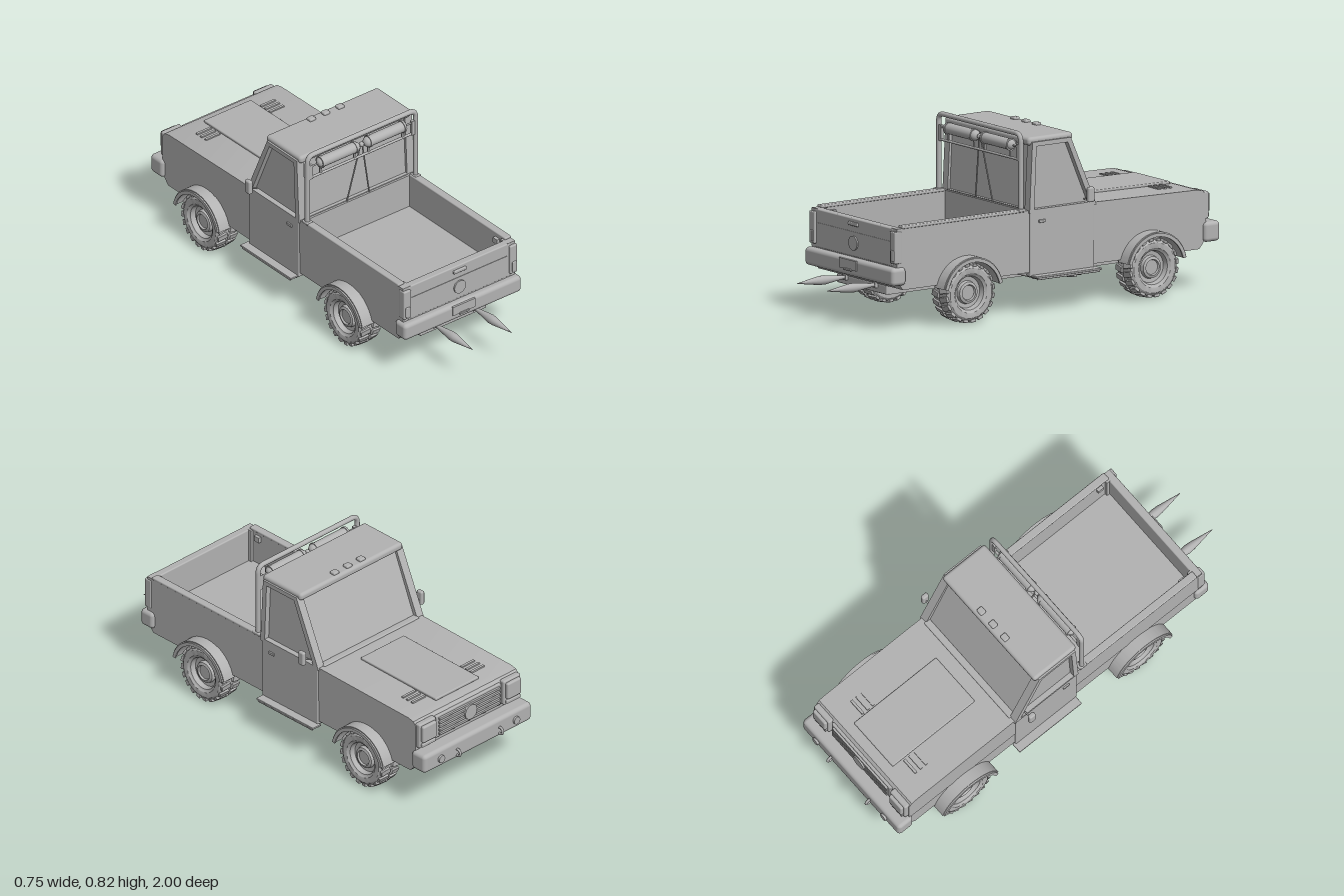
import * as THREE from 'three';
import { toCreasedNormals } from 'three/addons/utils/BufferGeometryUtils.js';
import { RoundedBoxGeometry } from 'three/addons/geometries/RoundedBoxGeometry.js';

const grey = new THREE.MeshStandardMaterial({ color: 0xb2b2b2 });
grey.name = 'plain grey';
const V = (x, y, z) => new THREE.Vector3(x, y, z);

export function createModel() {
  const truck = new THREE.Group();
  truck.name = 'pickupTruck';

  const add = (name, geo, x = 0, y = 0, z = 0, parent = truck) => {
    const m = new THREE.Mesh(geo, grey);
    m.name = name;
    m.position.set(x, y, z);
    parent.add(m);
    return m;
  };
  // Box given by its extents on each axis
  const box = (name, x0, x1, y0, y1, z0, z1, r = 0) => {
    const w = Math.abs(x1 - x0), h = y1 - y0, d = z1 - z0;
    const geo = r ? new RoundedBoxGeometry(w, h, d, 3, r) : new THREE.BoxGeometry(w, h, d);
    return add(name, geo, (x0 + x1) / 2, (y0 + y1) / 2, (z0 + z1) / 2);
  };
  const rod = (name, a, b, r, sides = 12) => {
    const dir = b.clone().sub(a);
    const m = add(name, new THREE.CylinderGeometry(r, r, dir.length(), sides));
    m.position.copy(a).add(b).multiplyScalar(0.5);
    m.quaternion.setFromUnitVectors(V(0, 1, 0), dir.normalize());
    return m;
  };
  const outline = (pts, Type = THREE.Shape) => new Type(pts.map(([z, y]) => new THREE.Vector2(z, y)));
  // Side profile (z, y) extruded across x, centred on cx
  const slab = (name, shape, width, cx = 0) => {
    const geo = new THREE.ExtrudeGeometry(shape, { depth: width, bevelEnabled: false, curveSegments: 24 });
    geo.translate(0, 0, -width / 2).rotateY(-Math.PI / 2);
    return add(name, toCreasedNormals(geo, 0.5), cx);
  };
  const both = fn => [-1, 1].forEach(fn);
  const axles = [0.395, -0.6];
  const wheelY = 0.138;

  // Lower body with wheel arches, filled between the wheels
  const lower = new THREE.Shape();
  lower.moveTo(0.77, 0.3).lineTo(0.77, 0.23).lineTo(0.735, 0.185);
  const a0 = Math.asin((0.185 - wheelY) / 0.147);
  axles.forEach(z => lower.absarc(z, wheelY, 0.147, a0, Math.PI - a0, false));
  lower.lineTo(-0.87, 0.185).lineTo(-0.9, 0.22).lineTo(-0.9, 0.3);
  slab('lowerBody', lower, 0.626);
  box('underbody', -0.23, 0.23, 0.183, 0.292, -0.86, 0.72);
  box('chassis', -0.185, 0.185, 0.143, 0.185, -0.86, 0.715);

  // Hood, tapered slightly toward the nose
  slab('hood', outline([[-0.28, 0.29], [-0.28, 0.46], [-0.86, 0.45], [-0.89, 0.443], [-0.905, 0.425], [-0.905, 0.29]]), 0.63);
  const panel = add('hoodPanel', new RoundedBoxGeometry(0.264, 0.014, 0.47, 2, 0.005), 0, 0.459, -0.61);
  panel.rotation.x = -0.012;
  both(s => [-0.785, -0.755, -0.725].forEach(z => box('hoodVent', s * 0.14, s * 0.22, 0.447, 0.458, z - 0.006, z + 0.006)));

  // Cargo bed
  both(s => {
    box('bedSide', s * 0.285, s * 0.315, 0.29, 0.46, 0.05, 0.765);
    box('bedRail', s * 0.282, s * 0.318, 0.457, 0.47, 0.07, 0.74, 0.005);
    box('tailCornerPost', s * 0.272, s * 0.315, 0.29, 0.46, 0.72, 0.77);
    box('tieDown', s * 0.27, s * 0.287, 0.42, 0.445, 0.67, 0.7);
  });
  box('bedFloor', -0.29, 0.29, 0.285, 0.302, 0.05, 0.74);
  box('bulkhead', -0.315, 0.315, 0.29, 0.462, 0.04, 0.07);
  box('tailgate', -0.29, 0.29, 0.29, 0.46, 0.735, 0.772, 0.006);
  box('tailgateCrease', -0.27, 0.27, 0.397, 0.4, 0.77, 0.774);
  box('tailgateHandle', -0.036, 0.036, 0.427, 0.443, 0.768, 0.781, 0.004);
  add('tailgateDisc', new THREE.CylinderGeometry(0.032, 0.032, 0.01, 32).rotateX(Math.PI / 2), 0, 0.35, 0.774);
  both(s => {
    box('tailLight', s * 0.278, s * 0.319, 0.305, 0.447, 0.745, 0.783, 0.005);
    box('tailLightLens', s * 0.288, s * 0.311, 0.315, 0.365, 0.775, 0.787, 0.004);
  });

  // Bumpers and rear fittings
  box('rearBumper', -0.329, 0.329, 0.207, 0.287, 0.725, 0.802, 0.018);
  box('rearPlate', -0.063, 0.063, 0.237, 0.281, 0.795, 0.807);
  box('plateLamp', -0.028, 0.028, 0.232, 0.242, 0.8, 0.812, 0.003);
  box('frontBumper', -0.33, 0.33, 0.213, 0.303, -0.975, -0.89, 0.018);
  box('rearCrossbar', -0.185, 0.185, 0.143, 0.182, 0.69, 0.73, 0.004);
  const spike = [[0.001, 0], [0.007, 0.002], [0.009, 0.04], [0.021, 0.13], [0.019, 0.16], [0.001, 0.275]];
  both(s => {
    const geo = new THREE.LatheGeometry(spike.map(p => new THREE.Vector2(...p)), 16).rotateX(Math.PI / 2);
    add('rearSpike', geo, s * 0.11, 0.178, 0.725);
    box('spikeMount', s * 0.1, s * 0.12, 0.165, 0.192, 0.69, 0.745);
    // Tow hooks and bumper lamps
    const hook = new THREE.TorusGeometry(0.016, 0.006, 8, 16).rotateY(Math.PI / 2);
    add('towHook', hook, s * 0.13, 0.245, -0.98);
    add('bumperLamp', new THREE.CylinderGeometry(0.018, 0.018, 0.016, 20).rotateX(Math.PI / 2), s * 0.23, 0.255, -0.977);
  });
  box('frontSkid', -0.2, 0.2, 0.18, 0.215, -0.93, -0.86, 0.008);

  // Grille and headlights
  box('grilleFrame', -0.2, 0.2, 0.32, 0.43, -0.915, -0.9, 0.005);
  for (let i = 0; i < 5; i++) box('grilleSlat', -0.185, 0.185, 0.333 + i * 0.019, 0.343 + i * 0.019, -0.925, -0.91);
  add('grilleDisc', new THREE.CylinderGeometry(0.036, 0.036, 0.014, 32).rotateX(Math.PI / 2), 0, 0.376, -0.925);
  both(s => {
    box('headlightHousing', s * 0.207, s * 0.311, 0.315, 0.437, -0.925, -0.895, 0.008);
    box('headlight', s * 0.217, s * 0.301, 0.345, 0.427, -0.94, -0.915, 0.008);
    box('turnSignal', s * 0.217, s * 0.301, 0.322, 0.339, -0.935, -0.915, 0.004);
  });

  // Cab glass core, side frames, roof
  slab('cabGlass', outline([[0.045, 0.44], [0.028, 0.765], [-0.155, 0.765], [-0.29, 0.44]]), 0.596);
  both(s => {
    const frame = outline([[0.056, 0.45], [0.04, 0.765], [-0.168, 0.765], [-0.307, 0.45]]);
    frame.holes.push(outline([[0.03, 0.465], [0.018, 0.745], [-0.152, 0.745], [-0.272, 0.465]], THREE.Path));
    slab('cabSideFrame', frame, 0.038, s * 0.304);
    // Door, handle and hinges
    box('door', s * 0.29, s * 0.32, 0.166, 0.455, -0.298, 0.05, 0.005);
    box('doorHandle', s * 0.315, s * 0.327, 0.403, 0.416, -0.03, 0.005, 0.003);
    // Side step with a ladder frame underneath
    box('sideStep', s * 0.31, s * 0.36, 0.164, 0.173, -0.31, 0.045, 0.003);
    [0.318, 0.353].forEach(x => rod('stepRail', V(s * x, 0.16, -0.3), V(s * x, 0.16, 0.035), 0.005, 8));
    [-0.28, -0.13, 0.02].forEach(z => rod('stepStrut', V(s * 0.18, 0.16, z), V(s * 0.355, 0.16, z), 0.006, 8));
    // Mirrors
    rod('mirrorArm', V(s * 0.315, 0.48, -0.245), V(s * 0.36, 0.5, -0.245), 0.004, 8);
    box('mirror', s * 0.352, s * 0.374, 0.474, 0.541, -0.262, -0.228, 0.008);
  });
  box('roof', -0.314, 0.314, 0.748, 0.785, -0.188, 0.054, 0.015);
  box('cowl', -0.29, 0.29, 0.445, 0.466, -0.312, -0.28, 0.005);
  box('rearWindowSill', -0.285, 0.285, 0.445, 0.466, 0.03, 0.06);
  [-0.08, 0, 0.08].forEach(x => box('roofLamp', x - 0.017, x + 0.017, 0.78, 0.796, -0.175, -0.145, 0.006));

  // Roll bar hoop with rounded corners
  const hoop = new THREE.CurvePath();
  const hz = 0.09, hx = 0.304, ht = 0.805, c = 0.035;
  hoop.add(new THREE.LineCurve3(V(-hx, 0.46, hz), V(-hx, ht - c, hz)));
  hoop.add(new THREE.QuadraticBezierCurve3(V(-hx, ht - c, hz), V(-hx, ht, hz), V(c - hx, ht, hz)));
  hoop.add(new THREE.LineCurve3(V(c - hx, ht, hz), V(hx - c, ht, hz)));
  hoop.add(new THREE.QuadraticBezierCurve3(V(hx - c, ht, hz), V(hx, ht, hz), V(hx, ht - c, hz)));
  hoop.add(new THREE.LineCurve3(V(hx, ht - c, hz), V(hx, 0.46, hz)));
  add('rollBar', new THREE.TubeGeometry(hoop, 160, 0.0115, 12));
  rod('lowerCrossbar', V(-0.3, 0.69, hz), V(0.3, 0.69, hz), 0.006);
  rod('upperCrossbar', V(-0.3, 0.746, hz), V(0.3, 0.746, hz), 0.004);
  both(s => {
    box('rollBarFoot', s * 0.288, s * 0.32, 0.46, 0.473, 0.07, 0.11, 0.004);
    box('rollBarBracket', s * 0.278, s * 0.295, 0.684, 0.756, 0.083, 0.097);
    // Strapped canisters
    add('canister', new THREE.CapsuleGeometry(0.025, 0.19, 6, 20).rotateZ(Math.PI / 2).scale(0.98, 1, 1), s * 0.131, 0.748, hz);
    [0.04, 0.23].forEach(x => {
      add('canisterStrap', new THREE.CylinderGeometry(0.028, 0.028, 0.01, 20).rotateZ(Math.PI / 2), s * x, 0.748, hz);
      box('strapHanger', s * x - 0.005, s * x + 0.005, 0.69, 0.73, 0.086, 0.094);
    });
    rod('supportCable', V(s * 0.003, 0.755, hz), V(s * 0.063, 0.465, 0.066), 0.0035, 8);
  });
  add('cableClamp', new THREE.SphereGeometry(0.012, 12, 8), 0, 0.748, hz);

  // Wheels: tyre and rim in one lathe, tread blocks in two skewed rows
  const profile = [[0, -0.05], [0.08, -0.05], [0.088, -0.056], [0.112, -0.056], [0.125, -0.047], [0.127, 0],
    [0.125, 0.047], [0.112, 0.056], [0.088, 0.056], [0.082, 0.05], [0.076, 0.047], [0.07, 0.024],
    [0.052, 0.022], [0.048, 0.038], [0.036, 0.042], [0.032, 0.034], [0, 0.034]];
  const tyreGeo = toCreasedNormals(
    new THREE.LatheGeometry(profile.map(p => new THREE.Vector2(...p)), 40).rotateZ(-Math.PI / 2), 0.6);
  const blockGeo = new RoundedBoxGeometry(0.05, 0.014, 0.026, 1, 0.003);
  const count = 20;
  axles.forEach(z => {
    rod('axle', V(-0.25, wheelY, z), V(0.25, wheelY, z), 0.014);
    both(s => {
      const wheel = new THREE.Group();
      wheel.name = 'wheel';
      wheel.position.set(s * 0.296, wheelY, z);
      if (s < 0) wheel.rotation.y = Math.PI;
      truck.add(wheel);
      add('tyreAndRim', tyreGeo, 0, 0, 0, wheel);
      for (let i = 0; i < count; i++) both(side => {
        const a = (i + (side > 0 ? 0.5 : 0)) * 2 * Math.PI / count;
        const pivot = new THREE.Group();
        pivot.name = 'treadPivot';
        pivot.rotation.x = a;
        wheel.add(pivot);
        const block = add('treadBlock', blockGeo, side * 0.03, 0.1275, 0, pivot);
        block.rotation.set(0, side * 0.2, side * -0.1);
      });
      // Fender flare, with a thin lip on its outer edge
      const flare = (name, r0, r1, x0, x1) => {
        const arc = new THREE.Shape();
        arc.absarc(z, wheelY, r1, 0.22, Math.PI - 0.22, false);
        arc.absarc(z, wheelY, r0, Math.PI - 0.22, 0.22, true);
        slab(name, arc, x1 - x0, s * (x0 + x1) / 2);
      };
      flare('fenderFlare', 0.146, 0.163, 0.3, 0.37);
      flare('fenderLip', 0.142, 0.158, 0.368, 0.377);
    });
  });
  return truck;
}
